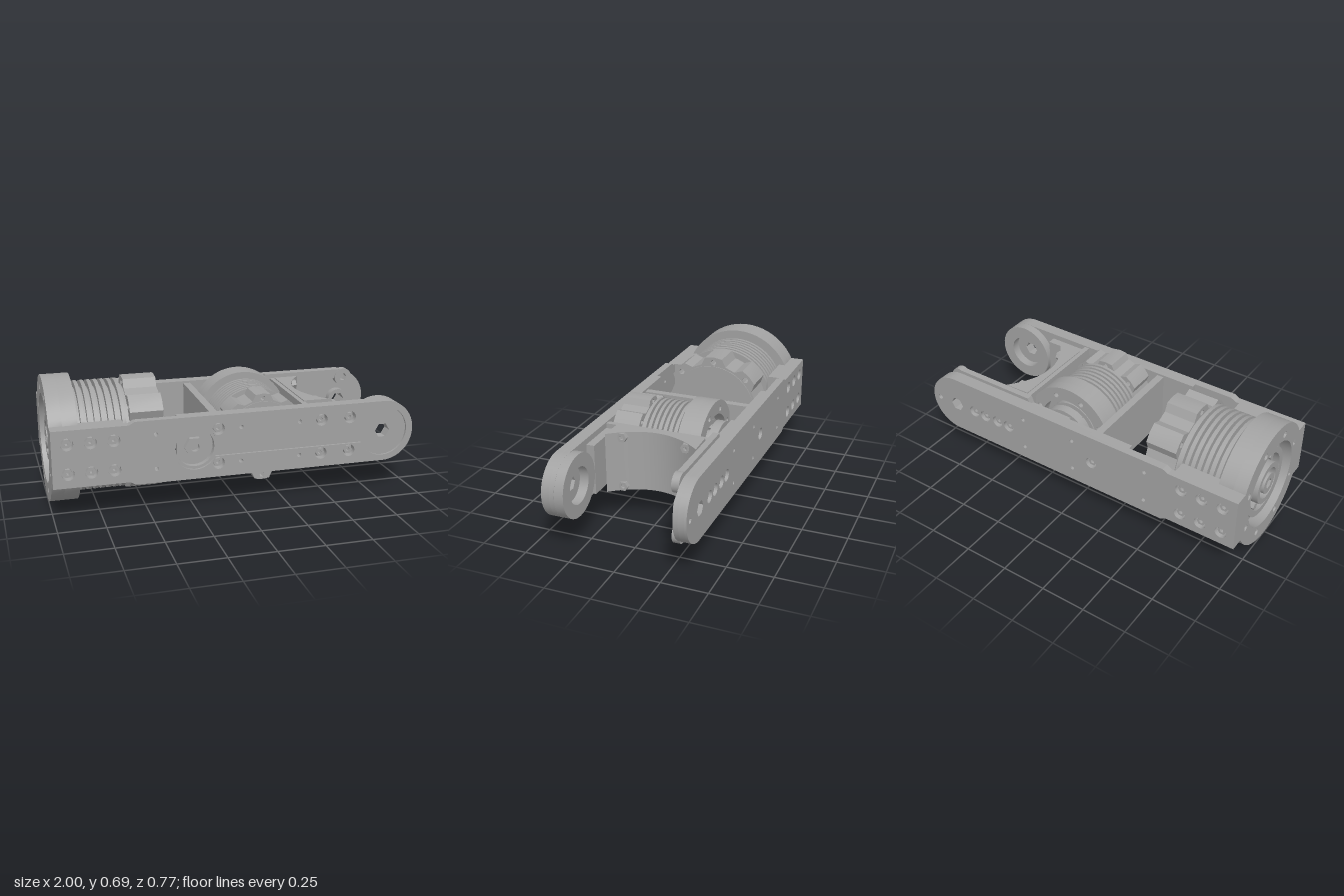
import * as THREE from 'three';
import { toCreasedNormals } from 'three/addons/utils/BufferGeometryUtils.js';

const grey = new THREE.MeshStandardMaterial({ color: 0xa2a2a2 });
grey.name = 'machined grey';
const CY = 0.345; // height of the centre line
const HEX = 6, ROUND = 28;

function add(parent, name, geo, x = 0, y = 0, z = 0) {
  const m = new THREE.Mesh(geo, grey);
  m.name = name;
  m.position.set(x, y, z);
  parent.add(m);
  return m;
}

// Regular polygon points: round hole, hex socket or disc
function ring(x, y, r, n = ROUND) {
  return Array.from({ length: n }, (_, i) => {
    const a = (i / n) * Math.PI * 2;
    return new THREE.Vector2(x + r * Math.cos(a), y + r * Math.sin(a));
  });
}

// Disc with two flat sides at x = +-flat
function flatDisc(r, flat, n = 56) {
  return ring(0, 0, r, n).map(p => new THREE.Vector2(THREE.MathUtils.clamp(p.x, -flat, flat), p.y));
}

function slab(points, depth, holes = []) {
  const s = new THREE.Shape(points);
  s.holes = holes.map(h => new THREE.Path(h));
  return toCreasedNormals(new THREE.ExtrudeGeometry(s, { depth, bevelEnabled: false }), 0.5);
}

const v = pairs => pairs.map(([x, y]) => new THREE.Vector2(x, y));
const box = (w, h, d) => new THREE.BoxGeometry(w, h, d);

// Motor along +z: dished cap, cooling fins, lobed end bell
function motor(name) {
  const g = new THREE.Group();
  g.name = name;
  const capBolts = Array.from({ length: 8 }, (_, i) => {
    const a = (i + 0.5) * Math.PI / 4;
    return ring(0.282 * Math.cos(a), 0.282 * Math.sin(a), 0.02, 12);
  });
  add(g, 'capRim', slab(flatDisc(0.345, 0.315), 0.07, [ring(0, 0, 0.245, 40), ...capBolts]));
  add(g, 'capBase', slab(flatDisc(0.345, 0.315), 0.08), 0, 0, 0.07);
  add(g, 'outerBearing', slab(ring(0, 0, 0.2, 40), 0.04, [ring(0, 0, 0.165, 40)]), 0, 0, 0.03);
  add(g, 'innerBearing', slab(ring(0, 0, 0.12, 32), 0.055, [ring(0, 0, 0.09)]), 0, 0, 0.015);
  add(g, 'shaft', slab(ring(0, 0, 0.06), 0.06, [ring(0, 0, 0.03, HEX)]), 0, 0, 0.01);
  for (let i = 0; i < 6; i++) {
    const a = i * Math.PI / 3;
    add(g, 'gearBolt', slab(ring(0, 0, 0.022, HEX), 0.03), 0.143 * Math.cos(a), 0.143 * Math.sin(a), 0.04);
  }
  add(g, 'core', slab(flatDisc(0.265, 0.262), 0.32), 0, 0, 0.14);
  for (let i = 0; i < 7; i++)
    add(g, 'coolingFin', slab(flatDisc(0.3, 0.272), 0.02), 0, 0, 0.172 + i * 0.036);

  // Lobed bell with clipped sides
  const bell = [], sockets = [];
  for (let i = 0; i < 8; i++) {
    const a = i * Math.PI / 4;
    for (const [da, r] of [[-0.28, 0.275], [-0.17, 0.315], [0, 0.318], [0.17, 0.315], [0.28, 0.275]])
      bell.push(new THREE.Vector2(THREE.MathUtils.clamp(r * Math.cos(a + da), -0.275, 0.275), r * Math.sin(a + da)));
    if (i % 4) sockets.push(ring(0.285 * Math.cos(a), 0.285 * Math.sin(a), 0.018, HEX));
  }
  add(g, 'bellLobes', slab(bell, 0.18, sockets), 0, 0, 0.43);
  add(g, 'bellFace', slab(flatDisc(0.262, 0.262), 0.195), 0, 0, 0.42);
  add(g, 'cablePort', box(0.07, 0.12, 0.01), 0.12, 0, 0.611);
  return g;
}

// Arm outline: stepped at the motor end, round at the joint
function armOutline(start) {
  const pts = start < -0.9
    ? [[-1, 0.155], [-1, -0.155], [-0.6, -0.155], [-0.57, -0.172]]
    : [[start, 0.172], [start, -0.172]];
  for (let i = 0; i <= 24; i++) {
    const a = -Math.PI / 2 + (i / 24) * Math.PI;
    pts.push([0.825 + 0.173 * Math.cos(a), 0.172 * Math.sin(a)]);
  }
  if (start < -0.9) pts.push([-0.57, 0.172], [-0.6, 0.155]);
  return v(pts);
}

// Joint and pulley circles joined by a belt slot
function beltSlot() {
  const pts = [], a1 = Math.asin(0.055 / 0.14), a2 = Math.asin(0.055 / 0.12);
  for (let i = 0; i <= 24; i++) {
    const a = -Math.PI + a1 + (i / 24) * 2 * (Math.PI - a1);
    pts.push([0.82 + 0.14 * Math.cos(a), 0.14 * Math.sin(a)]);
  }
  for (let i = 0; i <= 24; i++) {
    const a = a2 + (i / 24) * 2 * (Math.PI - a2);
    pts.push([-0.25 + 0.12 * Math.cos(a), 0.12 * Math.sin(a)]);
  }
  return v(pts);
}

function bolt(parent, x, y, z) {
  add(parent, 'bolt', slab(ring(0, 0, 0.025, HEX), 0.03, [ring(0, 0, 0.011, HEX)]), x, y, z);
}

// Arm plate built facing +z; local y = 0 is the centre line
function arm(name, front) {
  const g = new THREE.Group();
  g.name = name;
  const dir = front ? 1 : -1;
  const bolts = [], holes = [];
  const hex = ring(0.82, 0, 0.042, HEX);
  for (const y of [-0.08, 0.08]) for (const x of [-0.92, -0.8, -0.68]) bolts.push([x, y]);
  for (const y of [-0.095, 0.095]) {
    if (front) for (const x of [-0.125, 0.455, 0.62]) bolts.push([x, y]);
    for (const x of [-0.46, 0, 0.33]) holes.push(ring(x, y, 0.012, 10));
  }
  if (!front) {
    for (const x of [0.44, 0.52, 0.61, 0.69, -0.125]) bolts.push([x, 0]);
    holes.push(ring(0.95, 0, 0.016, 10));
  }
  bolts.forEach(([x, y]) => holes.push(ring(x, y, 0.034, 16)));
  const flip = pts => front ? pts : pts.map(p => new THREE.Vector2(p.x, p.y));
  const place = (part, geo, z0, depth) => add(g, part, geo, 0, 0, front ? z0 : -z0 - depth);
  const pulley = front ? [ring(-0.25, 0, 0.105)] : [];
  place('armFace', slab(flip(armOutline(-1)), 0.012, [...holes, ...(front ? [beltSlot()] : [hex])]), 0.374, 0.012);
  place('armPlate', slab(armOutline(-1), 0.032, [...holes, ...pulley, hex]), 0.342, 0.032);
  place('armInner', slab(armOutline(-0.34), 0.027, [hex]), 0.315, 0.027);
  add(g, 'motorMount', box(0.38, 0.31, 0.07), -0.81, 0, dir * 0.307);
  for (const [x, y] of bolts) bolt(g, x, y, front ? 0.342 : -0.372);
  if (front) add(g, 'pulley', slab(ring(0, 0, 0.055, HEX), 0.03, [ring(0, 0, 0.025)]), -0.25, 0, 0.34);
  g.position.y = CY;
  return g;
}

export function createModel() {
  const root = new THREE.Group();
  root.name = 'roboticLegLink';

  const hip = motor('largeMotor');
  hip.rotation.y = Math.PI / 2;
  hip.position.set(-1, CY, 0);
  const knee = motor('smallMotor');
  knee.scale.set(0.77, 0.77, 0.845);
  knee.position.set(0.145, CY, -0.21);
  root.add(hip, knee, arm('frontArm', true), arm('backArm', false));
  add(root, 'smallMotorHub', slab(ring(0, 0, 0.155, 36), 0.05), 0.145, CY, -0.26);
  add(root, 'smallMotorShaft', slab(ring(0, 0, 0.07), 0.08), 0.145, CY, -0.33);

  // Joint ring on the inside of the front arm
  add(root, 'jointRing', slab(ring(0, 0, 0.172, 40), 0.05, [ring(0, 0, 0.1, 32)]), 0.825, CY, 0.265);
  add(root, 'frontPad', box(0.23, 0.28, 0.045), 0.525, CY, 0.293);

  // Forked bracket on the inside of the back arm
  const fork = new THREE.Group();
  fork.name = 'backFork';
  fork.position.set(0, CY, -0.31);
  for (const s of [-1, 1]) {
    const rail = [[0.33, 0.135], [0.85, 0.135], [0.85, 0.187], [0.35, 0.187]].map(([x, y]) => [x, y * s]);
    add(fork, 'forkRail', slab(v(s > 0 ? rail : rail.reverse()), 0.035));
    add(fork, 'forkBoss', slab(ring(0, 0, 0.053, 20), 0.04, [ring(0, 0, 0.024, HEX)]), 0.85, s * 0.138, 0);
  }
  add(fork, 'forkWeb', box(0.3, 0.3, 0.03), 0.23, 0, 0.015);
  add(fork, 'jointHub', slab(ring(0, 0, 0.062), 0.04, [ring(0, 0, 0.04, HEX)]), 0.82, 0, 0);
  root.add(fork);

  // Cross wall and curved saddle between the arms
  add(root, 'crossWall', box(0.042, 0.32, 0.63), -0.126, CY, 0);
  add(root, 'saddleWall', box(0.03, 0.33, 0.58), 0.39, CY, 0.025);
  const curve = [[0.4, 0.25], [0.4, -0.25]];
  for (let i = 0; i <= 16; i++) {
    const t = -1 + i / 8;
    curve.push([0.435 + 0.11 * t * t, 0.255 * t]);
  }
  const saddle = add(root, 'saddle', slab(v(curve), 0.34), 0, CY + 0.17, 0);
  saddle.rotation.x = Math.PI / 2;
  for (const y of [-0.143, 0.143]) for (const z of [-0.18, 0.18]) {
    const b = add(root, 'saddleBolt', slab(ring(0, 0, 0.028, HEX), 0.03, [ring(0, 0, 0.012, HEX)]), 0.475, CY + y, z);
    b.rotation.y = Math.PI / 2;
  }
  return root;
}
